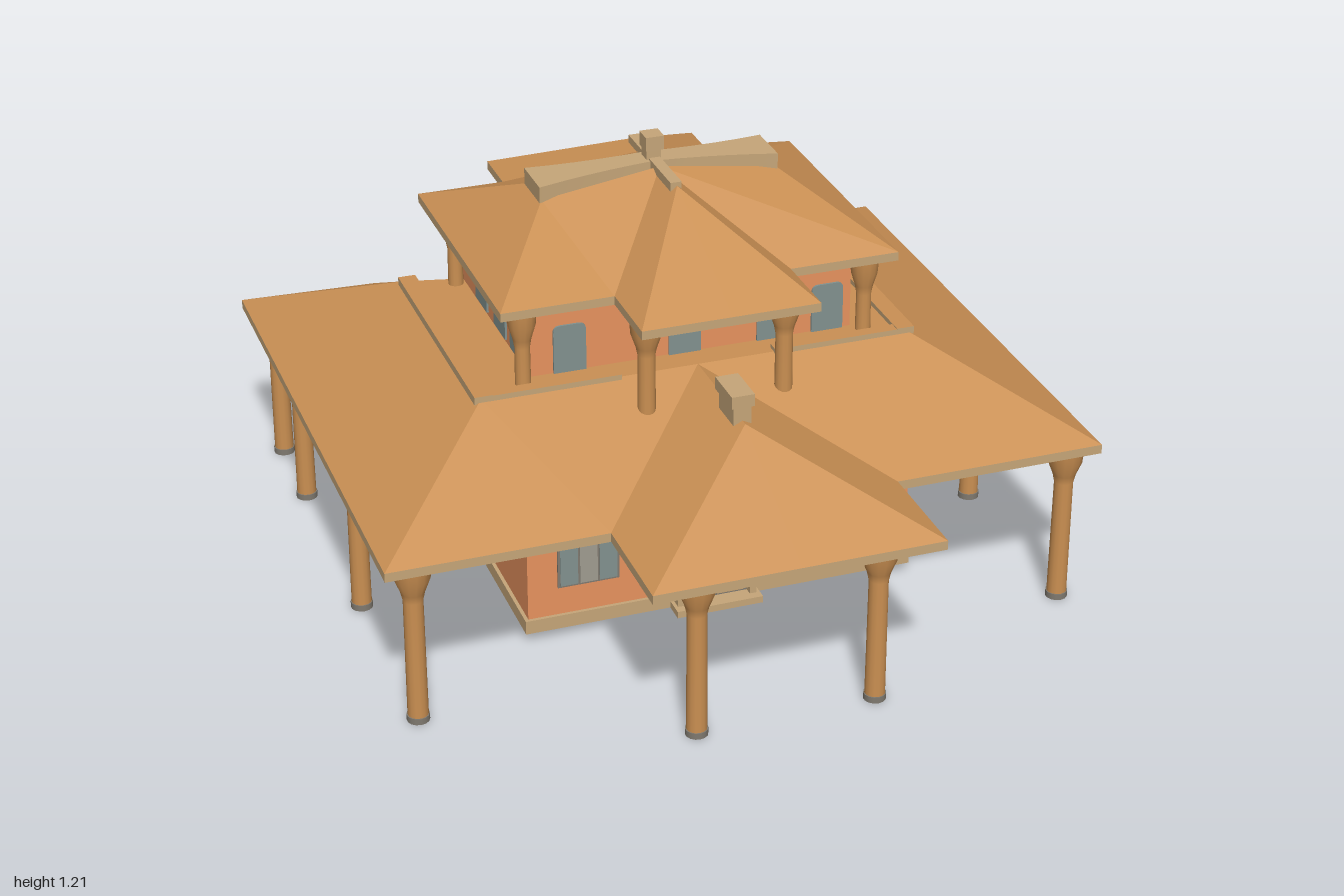
import * as THREE from 'three';

const mat = (name, color, side = THREE.FrontSide) => {
  const m = new THREE.MeshStandardMaterial({ color, side });
  m.name = name;
  return m;
};

export function createModel() {
  const roof = mat('roof ochre', 0xca9054, THREE.DoubleSide);
  const wall = mat('terracotta wall', 0xe8935f);
  const trim = mat('sand trim', 0xc6a679);
  const wood = mat('column wood', 0xcb9052);
  const glass = mat('window blue grey', 0x82928f);
  const pale = mat('curtain grey', 0xa09c90);
  const frame = mat('frame grey', 0x807a70);
  const doorTan = mat('door tan', 0xc4a070);
  const dark = mat('dark brown', 0x805840);

  const model = new THREE.Group();
  model.name = 'house';

  const add = (name, geometry, material, parent = model) => {
    const m = new THREE.Mesh(geometry, material);
    m.name = name;
    parent.add(m);
    return m;
  };
  // Box given by its limits on each axis
  const box = (name, [x0, x1], [y0, y1], [z0, z1], material) => {
    const m = add(name, new THREE.BoxGeometry(x1 - x0, y1 - y0, z1 - z0), material);
    m.position.set((x0 + x1) / 2, (y0 + y1) / 2, (z0 + z1) / 2);
  };
  // Flat faces for the +x half of a roof, mirrored to the -x half
  const roofSkin = (name, polys) => {
    const pos = [];
    const fan = p => {
      for (let i = 1; i < p.length - 1; i++) pos.push(...p[0], ...p[i], ...p[i + 1]);
    };
    for (const p of polys) {
      fan(p);
      fan(p.map(([x, y, z]) => [-x, y, z]).reverse());
    }
    const g = new THREE.BufferGeometry();
    g.setAttribute('position', new THREE.Float32BufferAttribute(pos, 3));
    g.computeVertexNormals();
    return add(name, g, roof);
  };
  // Eave slab from the +x half outline, mirrored; sand coloured edge
  const eave = (name, half, y, h) => {
    const pts = [...half, ...half.map(([x, z]) => [-x, z]).reverse()];
    const g = new THREE.ExtrudeGeometry(
      new THREE.Shape(pts.map(([x, z]) => new THREE.Vector2(x, -z))),
      { depth: h, bevelEnabled: false });
    g.rotateX(-Math.PI / 2);
    const m = add(name, g, [roof, trim]);
    m.position.y = y;
    return m;
  };

  // Walls, base and floor
  box('lowerWalls', [-0.53, 0.58], [0.05, 0.58], [-0.525, 0.33], wall);
  box('upperWalls', [-0.45, 0.475], [0.55, 0.93], [-0.515, 0.13], wall);
  box('baseTrim', [-0.54, 0.588], [0.03, 0.07], [-0.537, 0.34], trim);

  // Lower hipped roof with front porch and two rear wings
  const e = 0.5, t = 0.7;
  eave('lowerEave', [[0.4, 0.985], [0.4, 0.66], [1, 0.66], [1, -0.99], [0.6, -0.97], [0.6, -0.5]], 0.474, 0.026);
  roofSkin('lowerRoof', [
    [[1, e, 0.66], [1, e, -0.99], [0.61, t, -0.55], [0.61, t, 0.21]],
    [[1, e, -0.99], [0.6, e, -0.97], [0.61, t, -0.55]],
    [[0.6, e, -0.97], [0.6, e, -0.5], [0.61, t, -0.5], [0.61, t, -0.55]],
    [[1, e, 0.66], [0.61, t, 0.21], [0, t, 0.21], [0.4, e, 0.66]],
    [[0.4, e, 0.66], [0, t, 0.21], [0, t, 0.57], [0.4, e, 0.985]],
    [[0.4, e, 0.985], [0, t, 0.57], [0, e, 0.985]],
    [[0.61, t, 0.21], [0.61, t, -0.55], [0.4, t, -0.5], [0, t, -0.5], [0, t, 0.21]],
  ]);
  // Rails round the top of the lower roof, ochre above and sand at the sides
  const railMats = [trim, trim, roof, roof, trim, trim];
  for (const s of [-1, 1]) {
    box('sideRoofRail', [s * 0.605 - 0.025, s * 0.605 + 0.025], [0.68, 0.713], [-0.555, 0.22], railMats);
    box('frontRoofRail', [s * 0.42 - 0.2, s * 0.42 + 0.2], [0.68, 0.711], [0.185, 0.22], railMats);
  }
  // Narrow ledge along the back wall
  box('backLedge', [-0.6, 0.6], [0.56, 0.59], [-0.575, -0.5], [roof, roof, roof, roof, trim, trim]);
  // Porch ridge cap
  box('porchRidgeNeck', [-0.025, 0.025], [0.68, 0.745], [0.44, 0.55], trim);
  box('porchRidgeCap', [-0.032, 0.032], [0.74, 0.775], [0.43, 0.555], trim);

  // Upper cross-hipped roof
  const u = 0.942, v = 1.135, w = 1.085;
  eave('upperEave', [[0.25, 0.43], [0.25, 0.21], [0.565, 0.21], [0.565, -0.6], [0.315, -0.6], [0.315, -0.755]], 0.917, 0.025)
    .position.x = 0.015;
  roofSkin('upperRoof', [
    [[0.565, u, 0.21], [0.565, u, -0.6], [0.34, w, -0.26], [0.34, w, -0.14]],
    [[0.565, u, 0.21], [0.34, w, -0.14], [0, v, -0.14], [0.25, u, 0.21]],
    [[0.25, u, 0.21], [0, v, -0.14], [0, v, 0], [0.25, u, 0.43]],
    [[0.25, u, 0.43], [0, v, 0], [0, u, 0.43]],
    [[0.565, u, -0.6], [0.315, u, -0.6], [0, v, -0.26], [0.34, w, -0.26]],
    [[0.315, u, -0.755], [0, v, -0.35], [0, v, -0.26], [0.315, u, -0.6]],
    [[0.315, u, -0.755], [0, u, -0.755], [0, v, -0.35]],
  ]).position.x = 0.015;
  // Ridge cap, waisted in the middle
  const cap = new THREE.BoxGeometry(0.69, 0.05, 0.14, 10, 1, 2);
  const cp = cap.attributes.position;
  for (let i = 0; i < cp.count; i++) {
    const k = Math.abs(cp.getX(i)) / 0.345;
    cp.setZ(i, cp.getZ(i) * (0.5 + 0.5 * k * k));
    cp.setY(i, cp.getY(i) + 0.015 * (1 - k));
  }
  cap.computeVertexNormals();
  add('upperRidgeCap', cap, trim).position.set(0.012, 1.102, -0.2);
  box('crossRidgeCap', [-0.004, 0.028], [1.12, 1.146], [-0.35, 0], trim);
  box('finialNeck', [-0.01, 0.032], [1.12, 1.175], [-0.22, -0.178], trim);
  box('finialHead', [-0.015, 0.038], [1.17, 1.21], [-0.225, -0.17], trim);

  // Columns with flared capitals
  const column = (name, x, z, y0, y1, r = 0.028, foot = true) => {
    const g = new THREE.Group();
    g.name = name;
    const pts = [[r, y0], [r * 0.95, y1 - 0.11], [r * 1.15, y1 - 0.085], [r * 1.7, y1 - 0.045], [r * 1.85, y1]];
    add('shaft', new THREE.LatheGeometry(pts.map(p => new THREE.Vector2(...p)), 14), wood, g);
    if (foot) add('foot', new THREE.CylinderGeometry(r * 1.1, r * 1.1, 0.018, 14), frame, g).position.y = y0 + 0.009;
    g.position.set(x, 0, z);
    model.add(g);
  };
  for (const s of [-1, 1]) {
    for (const z of [0.59, 0, -0.65, -0.94]) column('sideColumn', s * 0.92 + 0.008, z, 0, 0.475);
    column('porchColumn', s * 0.25, 0.895, 0, 0.475);
    column('balconyColumn', s * 0.195 + 0.012, 0.315, 0.6, 0.92, 0.025, false);
    column('rearTallColumn', s * 0.238, -0.66, 0, 0.92, 0.026);
    for (const z of [0.16, -0.49]) column('cornerPost', s * 0.49 + 0.012, z, 0.66, 0.92, 0.022, false);
  }

  // Thin window plates with rounded tops, facing +z before turning
  const plate = (name, wd, h, x, y, z, turn, material, round = 0.02) => {
    const s = new THREE.Shape();
    s.moveTo(-wd / 2, 0);
    s.lineTo(wd / 2, 0);
    s.lineTo(wd / 2, h - round);
    s.quadraticCurveTo(wd / 2, h, wd / 2 - round, h);
    s.lineTo(-wd / 2 + round, h);
    s.quadraticCurveTo(-wd / 2, h, -wd / 2, h - round);
    const m = add(name, new THREE.ExtrudeGeometry(s, { depth: 0.006, bevelEnabled: false, curveSegments: 5 }), material);
    m.position.set(x, y, z);
    m.rotation.y = turn;
  };
  const H = Math.PI / 2;
  for (const x of [-0.338, -0.01, 0.245, 0.405]) plate('upperFrontWindow', 0.092, 0.14, x, 0.7, 0.13, 0, glass);
  for (const x of [-0.25, -0.015, 0.255]) plate('upperBackWindow', 0.12, 0.13, x, 0.71, -0.515, 2 * H, glass);
  for (const z of [0.022, -0.133, -0.31]) {
    plate('upperRightWindow', 0.11, 0.13, 0.475, 0.712, z, H, glass);
    plate('upperLeftWindow', 0.11, 0.13, -0.45, 0.712, z, -H, glass);
  }
  plate('sideWindowFrame', 0.175, 0.17, 0.58, 0.14, -0.245, H, frame, 0.004);
  plate('sideWindow', 0.16, 0.156, 0.583, 0.147, -0.245, H, glass, 0.004);
  for (const x of [-0.358, 0.37]) {
    plate('frontWindowFrame', 0.175, 0.15, x, 0.155, 0.33, 0, frame, 0.008);
    for (const d of [-0.056, 0, 0.056])
      plate('frontWindowPane', 0.05, 0.138, x + d, 0.161, 0.333, 0, d ? glass : pale, 0.015);
  }

  // Double door with frame and step
  box('doorStep', [-0.125, 0.125], [0.03, 0.05], [0.32, 0.4], trim);
  box('doorLintel', [-0.115, 0.115], [0.295, 0.31], [0.32, 0.375], dark);
  for (const s of [-1, 1]) {
    box('doorJamb', [s * 0.105 - 0.01, s * 0.105 + 0.01], [0.05, 0.23], [0.32, 0.375], trim);
    box('doorJambTop', [s * 0.105 - 0.01, s * 0.105 + 0.01], [0.23, 0.295], [0.32, 0.375], dark);
    plate('doorLeafEdge', 0.094, 0.245, s * 0.048, 0.05, 0.345, 0, frame, 0.004);
    plate('doorLeaf', 0.078, 0.232, s * 0.045, 0.056, 0.349, 0, doorTan, 0.03);
  }
  return model;
}
